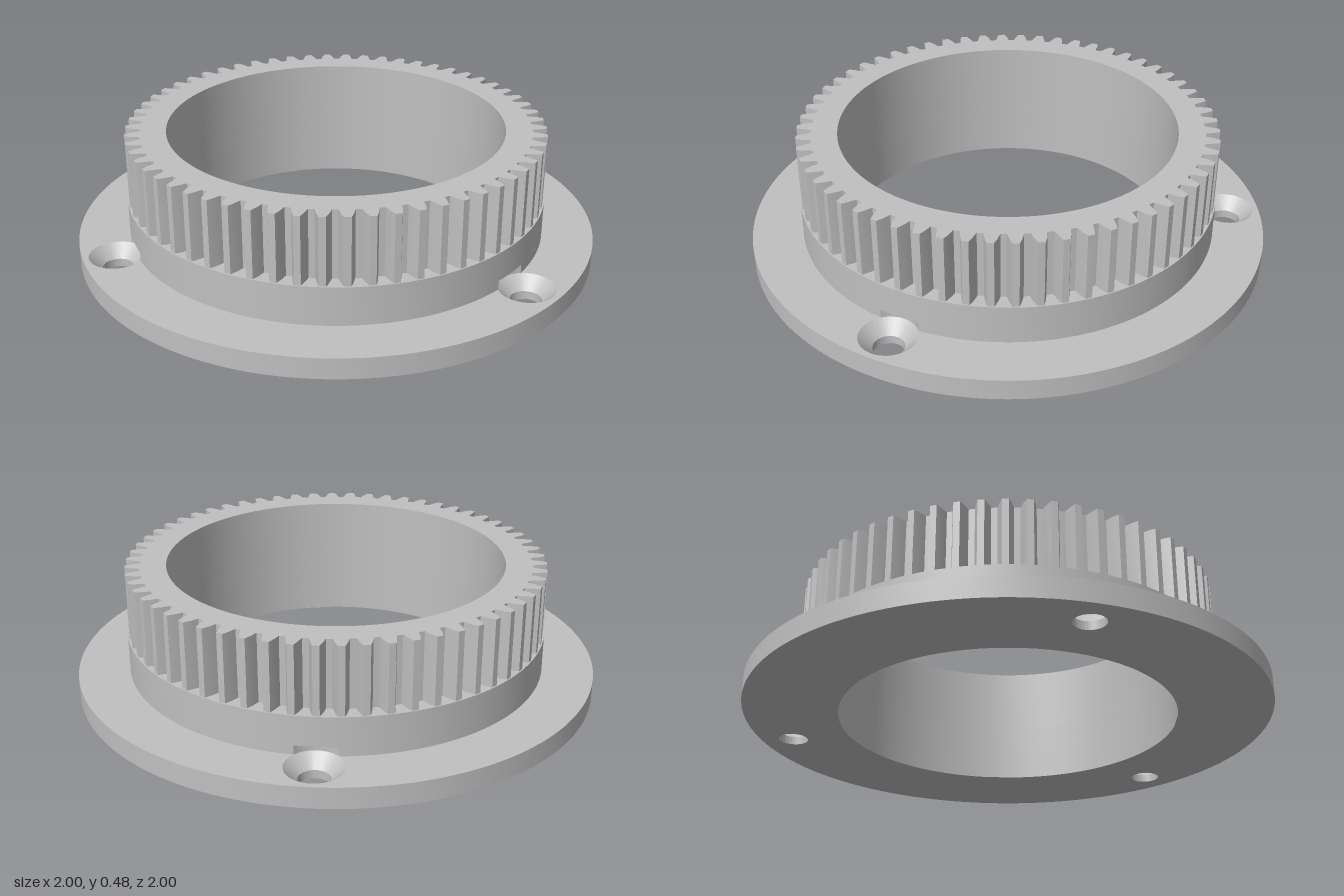
import * as THREE from 'three';
import { toCreasedNormals } from 'three/addons/utils/BufferGeometryUtils.js';

const BORE = 0.645, COLLAR = 0.805, TIP = 0.8, ROOT = 0.745, TEETH = 60;
const SCREW_DIST = 0.873, SINK = 0.105, DRILL = 0.057;
const SCREW_ANGLES = [-Math.PI / 6, Math.PI / 2, Math.PI * 7 / 6];

const screwCentre = a => new THREE.Vector2(Math.cos(a), Math.sin(a)).multiplyScalar(SCREW_DIST);

function disc(radius) {
  const s = new THREE.Shape();
  s.absarc(0, 0, radius, 0, Math.PI * 2, false);
  return s;
}

function addHole(shape, x, y, radius) {
  const p = new THREE.Path();
  p.absarc(x, y, radius, 0, Math.PI * 2, true);
  shape.holes.push(p);
}

// Extrudes a ring outline upward from y0 to y1, with the central bore cut out
function layer(shape, y0, y1, steps = 1) {
  addHole(shape, 0, 0, BORE);
  const g = new THREE.ExtrudeGeometry(shape, { depth: y1 - y0, bevelEnabled: false, curveSegments: 96, steps });
  g.rotateX(-Math.PI / 2);
  g.translate(0, y0, 0);
  return g;
}

// Flange whose three screw holes narrow from a countersink to a drilled hole
function flangeGeometry() {
  const shape = disc(1);
  const centres = SCREW_ANGLES.map(screwCentre);
  centres.forEach(c => addHole(shape, c.x, c.y, SINK));
  const g = layer(shape, 0, 0.08, 2);
  const p = g.attributes.position;
  for (let i = 0; i < p.count; i++) {
    if (p.getY(i) > 0.06) continue;
    if (p.getY(i) > 0.02) p.setY(i, 0.032);
    for (const c of centres) {
      const dx = p.getX(i) - c.x, dz = p.getZ(i) + c.y;
      if (Math.hypot(dx, dz) < SINK + 0.002) {
        p.setX(i, c.x + dx * DRILL / SINK);
        p.setZ(i, -c.y + dz * DRILL / SINK);
      }
    }
  }
  return g;
}

// Collar outline with a round bite where each screw head needs clearance
function notchedShape() {
  const s = new THREE.Shape();
  const half = Math.acos((COLLAR ** 2 + SCREW_DIST ** 2 - SINK ** 2) / (2 * COLLAR * SCREW_DIST));
  SCREW_ANGLES.forEach(a => {
    const c = screwCentre(a);
    const angleTo = t => Math.atan2(COLLAR * Math.sin(t) - c.y, COLLAR * Math.cos(t) - c.x);
    s.absarc(c.x, c.y, SINK, angleTo(a - half), angleTo(a + half), true);
    s.absarc(0, 0, COLLAR, a + half, a + Math.PI * 2 / 3 - half, false);
  });
  return s;
}

// Toothed outline: each tooth narrows from root to tip
function gearShape() {
  const flank = [[ROOT, -0.028], [0.775, -0.021], [TIP, -0.012], [TIP, 0.012], [0.775, 0.021], [ROOT, 0.028]];
  const points = [];
  for (let i = 0; i < TEETH; i++) {
    const a = i * Math.PI * 2 / TEETH;
    for (const [r, w] of flank) {
      const t = a + w / r;
      points.push(new THREE.Vector2(r * Math.cos(t), r * Math.sin(t)));
    }
  }
  return new THREE.Shape(points);
}

export function createModel() {
  const group = new THREE.Group();
  group.name = 'flangedGearRing';
  const metal = new THREE.MeshStandardMaterial({ color: 0xc0c0c0 });
  metal.name = 'lightGrey';

  const add = (name, geometry, crease = 0.5) => {
    const mesh = new THREE.Mesh(toCreasedNormals(geometry, crease), metal);
    mesh.name = name;
    group.add(mesh);
  };

  add('flange', flangeGeometry());
  add('notchedCollar', layer(notchedShape(), 0.08, 0.115));
  add('collar', layer(disc(COLLAR), 0.115, 0.228));
  add('gearTeeth', layer(gearShape(), 0.228, 0.485), 0.3);
  return group;
}
